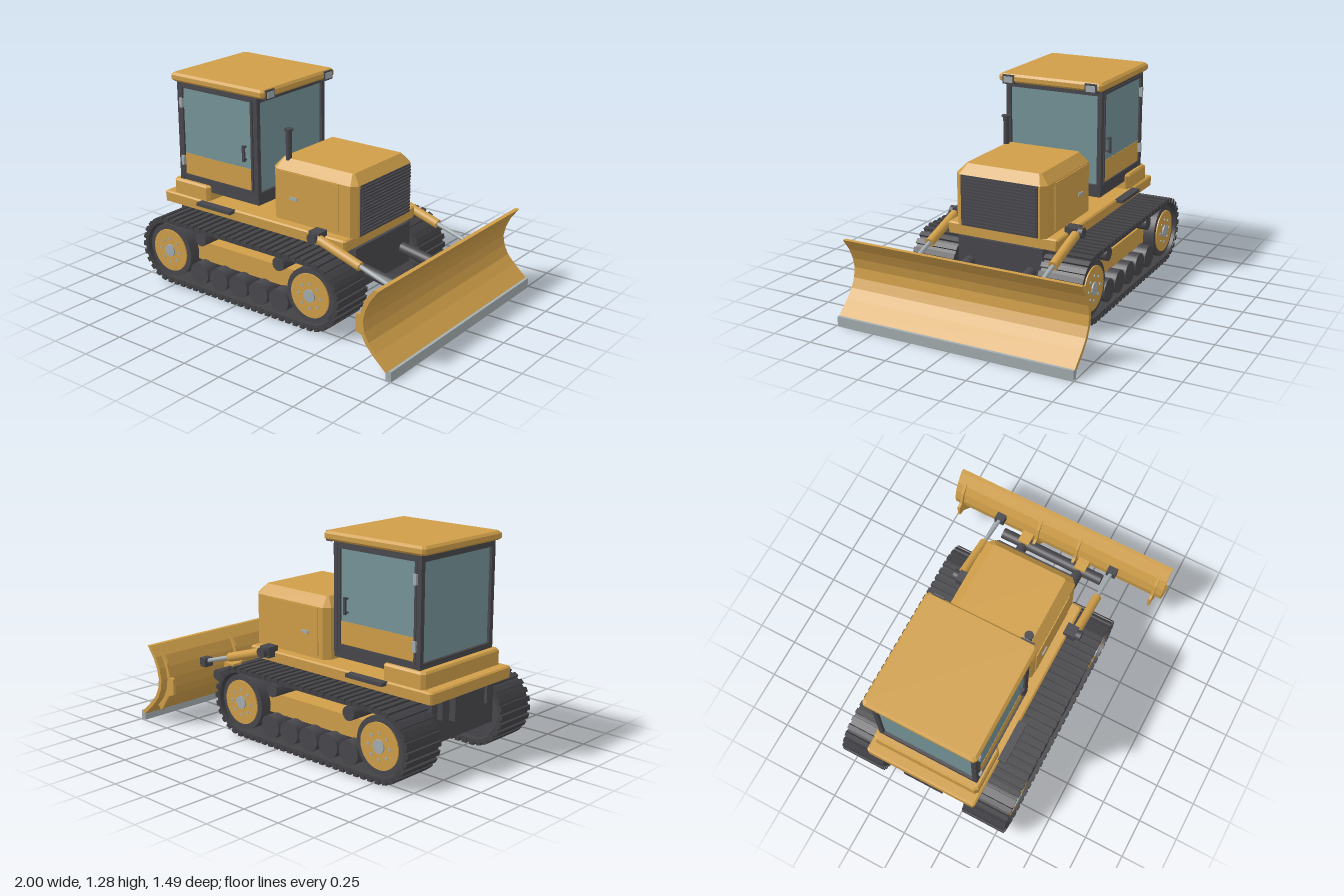
import * as THREE from 'three';
import { ConvexGeometry } from 'three/addons/geometries/ConvexGeometry.js';

const mat = (name, color) => Object.assign(new THREE.MeshStandardMaterial({ color }), { name });

export function createModel() {
  const yellow = mat('yellow paint', 0xcf9e49);
  const dark = mat('dark steel', 0x48474c);
  const trackDark = mat('track steel', 0x424145);
  const glass = mat('window glass', 0x759499);
  const grey = mat('bare metal', 0xa4adb0);

  const model = new THREE.Group();
  model.name = 'bulldozer';

  const add = (name, geo, material, parent = model) => {
    const m = new THREE.Mesh(geo, material);
    m.name = name;
    parent.add(m);
    return m;
  };
  // Box given by its limits on each axis
  const box = (name, material, [x0, x1], [y0, y1], [z0, z1], parent) =>
    add(name, new THREE.BoxGeometry(x1 - x0, y1 - y0, z1 - z0)
      .translate((x0 + x1) / 2, (y0 + y1) / 2, (z0 + z1) / 2), material, parent);
  // Round bar between two points
  const rod = (name, material, a, b, r, parent, sides = 24) => {
    const p = new THREE.Vector3(...a), q = new THREE.Vector3(...b);
    const m = add(name, new THREE.CylinderGeometry(r, r, p.distanceTo(q), sides), material, parent);
    m.position.copy(p).lerp(q, 0.5);
    m.quaternion.setFromUnitVectors(new THREE.Vector3(0, 1, 0), q.sub(p).normalize());
    return m;
  };
  // Convex block from levels [y, x0, x1, halfZ, cornerCut]
  const block = (name, material, levels) => {
    const pts = [];
    for (const [y, x0, x1, h, c] of levels)
      for (const s of [-1, 1])
        pts.push([x0 + c, y, s * h], [x1 - c, y, s * h], [x0, y, s * (h - c)], [x1, y, s * (h - c)]);
    return add(name, new ConvexGeometry(pts.map(p => new THREE.Vector3(...p))), material);
  };
  const extrude = (name, material, pts, z0, z1, parent) =>
    add(name, new THREE.ExtrudeGeometry(new THREE.Shape(pts.map(p => new THREE.Vector2(...p))),
      { depth: z1 - z0, bevelEnabled: false }).translate(0, 0, z0), material, parent);

  // Chassis and deck
  box('chassis', dark, [-0.93, 0.43], [0.19, 0.45], [-0.275, 0.275]);
  box('rearHitch', dark, [-0.975, -0.92], [0.3, 0.44], [-0.13, 0.13]);
  for (const z of [-0.2, 0.2]) box('rearBracket', dark, [-0.965, -0.92], [0.33, 0.45], [z - 0.03, z + 0.03]);
  block('deck', yellow, [[0.45, -0.99, 0.41, 0.355, 0.01], [0.51, -0.99, 0.41, 0.36, 0.01],
    [0.518, -0.98, 0.4, 0.35, 0.01]]);
  block('rearPlatform', yellow, [[0.515, -0.925, -0.63, 0.345, 0.02], [0.6, -0.925, -0.63, 0.345, 0.02],
    [0.612, -0.915, -0.64, 0.335, 0.02]]);

  // Engine hood
  block('hood', yellow, [[0.515, -0.17, 0.435, 0.295, 0.035], [0.825, -0.17, 0.435, 0.295, 0.035],
    [0.883, -0.125, 0.385, 0.24, 0.01]]);
  box('grille', dark, [0.42, 0.44], [0.52, 0.825], [-0.248, 0.248]);
  for (let i = 0; i < 15; i++) {
    const y = 0.535 + i * 0.0196;
    box('grilleSlat', dark, [0.435, 0.45], [y - 0.005, y + 0.005], [-0.242, 0.242]);
  }
  rod('exhaustPipe', dark, [-0.085, 0.86, 0.235], [-0.085, 1.055, 0.235], 0.018);
  rod('exhaustCap', dark, [-0.085, 1.05, 0.235], [-0.085, 1.06, 0.235], 0.027);

  // Cab
  box('cabGlass', glass, [-0.862, -0.268], [0.63, 1.22], [-0.305, 0.305]);
  box('cabFloor', dark, [-0.88, -0.25], [0.57, 0.645], [-0.318, 0.318]);
  box('cabTopFrame', dark, [-0.88, -0.25], [1.197, 1.238], [-0.32, 0.32]);
  for (const x of [-0.88, -0.28]) for (const s of [-1, 1])
    box('cabPost', dark, [x, x + 0.03], [0.6, 1.22], s > 0 ? [0.293, 0.322] : [-0.322, -0.293]);
  block('roof', yellow, [[1.235, -0.9, -0.2, 0.335, 0.02], [1.247, -0.915, -0.188, 0.345, 0.015],
    [1.273, -0.915, -0.188, 0.345, 0.015], [1.287, -0.9, -0.2, 0.33, 0.015]]);

  // Everything mirrored on the two sides
  for (const s of [1, -1]) {
    const side = new THREE.Group();
    side.name = s > 0 ? 'nearSide' : 'farSide';
    model.add(side);
    const b = (name, material, x, y, [z0, z1]) =>
      box(name, material, x, y, s > 0 ? [z0, z1] : [-z1, -z0], side);
    const r = (name, material, [x, y, z], [u, v, w], rad, sides) =>
      rod(name, material, [x, y, s * z], [u, v, s * w], rad, side, sides);

    // Door with frame, lower panel, handle and hinges
    b('doorPanel', yellow, [-0.84, -0.295], [0.65, 0.785], [0.3, 0.316]);
    b('doorGlass', glass, [-0.84, -0.295], [0.785, 1.205], [0.3, 0.314]);
    for (const x of [-0.85, -0.3]) b('doorStile', dark, [x, x + 0.014], [0.64, 1.215], [0.3, 0.326]);
    for (const y of [0.637, 1.2]) b('doorRail', dark, [-0.85, -0.286], [y, y + 0.015], [0.3, 0.326]);
    b('doorHandle', dark, [-0.355, -0.338], [0.83, 0.93], [0.33, 0.342]);
    for (const y of [0.835, 0.915]) b('handleMount', dark, [-0.353, -0.34], [y, y + 0.01], [0.31, 0.335]);
    for (const y of [0.71, 1.075]) b('doorHinge', grey, [-0.855, -0.835], [y, y + 0.06], [0.315, 0.336]);

    // Work lights
    b('lightHousing', dark, [-0.225, -0.185], [1.225, 1.282], [0.235, 0.315]);
    b('lightLens', grey, [-0.186, -0.18], [1.235, 1.272], [0.245, 0.305]);

    // Hood side panel and latch
    b('hoodPanel', yellow, [-0.1, 0.32], [0.535, 0.82], [0.29, 0.301]);
    b('hoodLatch', grey, [-0.028, 0.028], [0.656, 0.674], [0.295, 0.308]);
    b('step', dark, [-0.68, -0.41], [0.497, 0.518], [0.35, 0.402]);

    // Lift cylinder
    b('liftMount', dark, [0.195, 0.27], [0.485, 0.55], [0.335, 0.41]);
    r('liftPin', dark, [0.235, 0.518, 0.38], [0.235, 0.518, 0.44], 0.032);
    r('liftCylinder', yellow, [0.235, 0.518, 0.4], [0.55, 0.42, 0.4], 0.028);
    r('liftRod', grey, [0.54, 0.423, 0.4], [0.79, 0.347, 0.4], 0.013);
    b('liftRodEnd', dark, [0.75, 0.8], [0.32, 0.375], [0.37, 0.432]);

    // Push arm and its bracket
    r('pushArm', dark, [0.38, 0.31, 0.2], [0.74, 0.25, 0.2], 0.034);
    b('pushBracket', yellow, [0.71, 0.81], [0.2, 0.305], [0.165, 0.24]);

    // Track band: stadium with a stadium hole
    const X0 = -0.785, X1 = 0.3, CY = 0.225;
    const stadium = (Type, rad) => {
      const p = new Type();
      p.absarc(X1, CY, rad, -Math.PI / 2, Math.PI / 2);
      p.absarc(X0, CY, rad, Math.PI / 2, Math.PI * 1.5);
      p.closePath();
      return p;
    };
    const band = stadium(THREE.Shape, 0.2);
    band.holes.push(stadium(THREE.Path, 0.178));
    add('trackBand', new THREE.ExtrudeGeometry(band, { depth: 0.27, bevelEnabled: false, curveSegments: 20 })
      .translate(0, 0, s > 0 ? 0.28 : -0.55), trackDark, side);

    // Track shoes spaced evenly round the loop
    const L = X1 - X0, A = Math.PI * 0.2, total = 2 * (L + A), count = 66;
    for (let i = 0; i < count; i++) {
      let d = i / count * total, x, y, a;
      if (d < L) { x = X1 - d; y = CY + 0.2; a = Math.PI / 2; }
      else if ((d -= L) < A) { a = Math.PI / 2 + d / 0.2; x = X0 + 0.2 * Math.cos(a); y = CY + 0.2 * Math.sin(a); }
      else if ((d -= A) < L) { x = X0 + d; y = CY - 0.2; a = -Math.PI / 2; }
      else { a = -Math.PI / 2 + (d - L) / 0.2; x = X1 + 0.2 * Math.cos(a); y = CY + 0.2 * Math.sin(a); }
      const shoe = add('trackShoe', new THREE.BoxGeometry(0.026, 0.03, 0.28), trackDark, side);
      shoe.position.set(x, y, s * 0.415);
      shoe.rotation.z = a;
    }

    // Drive wheel and idler
    for (const x of [X0, X1]) {
      r('trackWheel', dark, [x, 0.222, 0.3], [x, 0.222, 0.53], 0.167, 40);
      r('wheelHub', yellow, [x, 0.222, 0.52], [x, 0.222, 0.538], 0.134, 32);
      r('wheelCap', grey, [x, 0.222, 0.53], [x, 0.222, 0.546], 0.039);
      for (let i = 0; i < 8; i++) {
        const a = i * Math.PI / 4, u = x + 0.076 * Math.cos(a), v = 0.222 + 0.076 * Math.sin(a);
        r('wheelBolt', grey, [u, v, 0.53], [u, v, 0.543], 0.009, 8);
      }
      r('wheelAxle', dark, [x, 0.222, 0.25], [x, 0.222, 0.32], 0.05);
    }

    // Track frame and rollers
    b('trackFrame', yellow, [-0.68, 0.18], [0.185, 0.305], [0.33, 0.46]);
    for (let i = 0; i < 5; i++) {
      const x = -0.555 + i * 0.155;
      r('roadRoller', dark, [x, 0.122, 0.32], [x, 0.122, 0.53], 0.071, 28);
      r('rollerAxle', dark, [x, 0.122, 0.285], [x, 0.122, 0.33], 0.028);
      r('rollerAxleCap', grey, [x, 0.122, 0.278], [x, 0.122, 0.29], 0.018, 12);
    }
    for (const x of [-0.545, 0.057]) r('topRoller', dark, [x, 0.345, 0.27], [x, 0.345, 0.52], 0.042);
  }

  // Blade: curved plate, cutting edge, ribs and cross tube
  rod('crossTube', dark, [0.73, 0.258, -0.355], [0.73, 0.258, 0.355], 0.036);
  const back = [[0.885, 0.497], [0.835, 0.435], [0.805, 0.37], [0.79, 0.3], [0.8, 0.235],
    [0.83, 0.175], [0.88, 0.12], [0.965, 0.045]];
  const face = [[0.985, 0.06], [0.9, 0.135], [0.853, 0.185], [0.825, 0.24], [0.815, 0.3],
    [0.828, 0.36], [0.858, 0.425], [0.912, 0.497]];
  extrude('blade', yellow, [...face, ...back], -0.745, 0.745);
  box('cuttingEdge', grey, [0.965, 1], [0.005, 0.062], [-0.745, 0.745]);
  for (const z of [-0.69, -0.14, 0.14, 0.69])
    extrude('bladeRib', yellow, [[0.89, 0.11], [0.84, 0.175], [0.815, 0.235], [0.803, 0.3], [0.818, 0.37], [0.85, 0.435],
      [0.84, 0.46], [0.79, 0.395], [0.765, 0.31], [0.735, 0.305], [0.735, 0.205], [0.78, 0.19], [0.86, 0.08]],
    z - 0.009, z + 0.009);

  return model;
}
